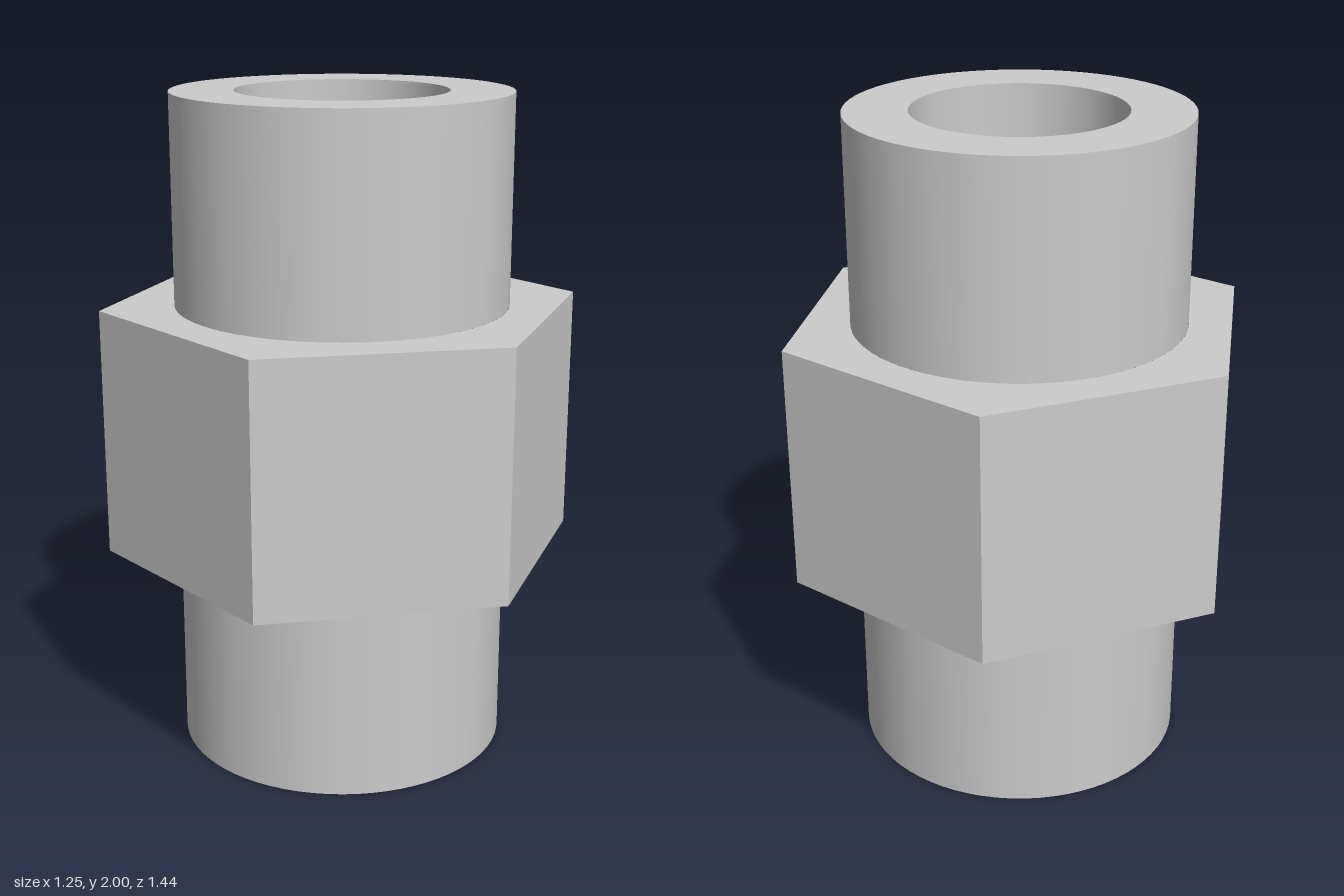
import * as THREE from 'three';
import { mergeGeometries } from 'three/addons/utils/BufferGeometryUtils.js';

const SEGMENTS = 72;
const OUTER = 0.5, WIDE_BORE = 0.313, NARROW_BORE = 0.22;
const HEX = 0.625 / Math.cos(Math.PI / 6); // across-corners radius
const HEX_BOTTOM = 0.625, HEX_TOP = 1.375, STEP = 1, HEIGHT = 2;

// Revolves each straight stretch of a profile separately, so its corners stay sharp
function turned(...profile) {
  const points = profile.map(([r, y]) => new THREE.Vector2(r, y));
  const bands = points.slice(1).map((p, i) => new THREE.LatheGeometry([points[i], p], SEGMENTS));
  return mergeGeometries(bands);
}

// Flat hexagonal shoulder around the barrel, facing up or down
function shoulder(y, facing) {
  const corners = [];
  for (let i = 0; i < 6; i++) {
    const a = Math.PI / 2 + i * Math.PI / 3;
    corners.push(new THREE.Vector2(HEX * Math.cos(a), HEX * Math.sin(a)));
  }
  const shape = new THREE.Shape(corners);
  shape.holes.push(new THREE.Path().absarc(0, 0, OUTER, 0, Math.PI * 2, true));
  return new THREE.ShapeGeometry(shape, SEGMENTS)
    .rotateX(-facing * Math.PI / 2)
    .translate(0, y, 0);
}

export function createModel() {
  const group = new THREE.Group();
  const smooth = new THREE.MeshStandardMaterial({ color: 0xcccccc });
  const flat = new THREE.MeshStandardMaterial({ color: 0xcccccc, flatShading: true });

  const add = (name, geometry, material) => {
    const mesh = new THREE.Mesh(geometry, material);
    mesh.name = name;
    group.add(mesh);
  };

  // Barrels with their end faces
  add('lowerBarrel', turned([NARROW_BORE, 0], [OUTER, 0], [OUTER, HEX_BOTTOM]), smooth);
  add('upperBarrel', turned([OUTER, HEX_TOP], [OUTER, HEIGHT], [WIDE_BORE, HEIGHT]), smooth);

  // Through bore: wide from above, stepping down to a narrow hole
  add('steppedBore', turned([WIDE_BORE, HEIGHT], [WIDE_BORE, STEP], [NARROW_BORE, STEP], [NARROW_BORE, 0]), smooth);

  // Hexagonal nut section
  const sides = new THREE.CylinderGeometry(HEX, HEX, HEX_TOP - HEX_BOTTOM, 6, 1, true);
  sides.translate(0, (HEX_TOP + HEX_BOTTOM) / 2, 0);
  add('hexSides', sides, flat);
  add('hexUpperShoulder', shoulder(HEX_TOP, 1), flat);
  add('hexLowerShoulder', shoulder(HEX_BOTTOM, -1), flat);

  return group;
}
